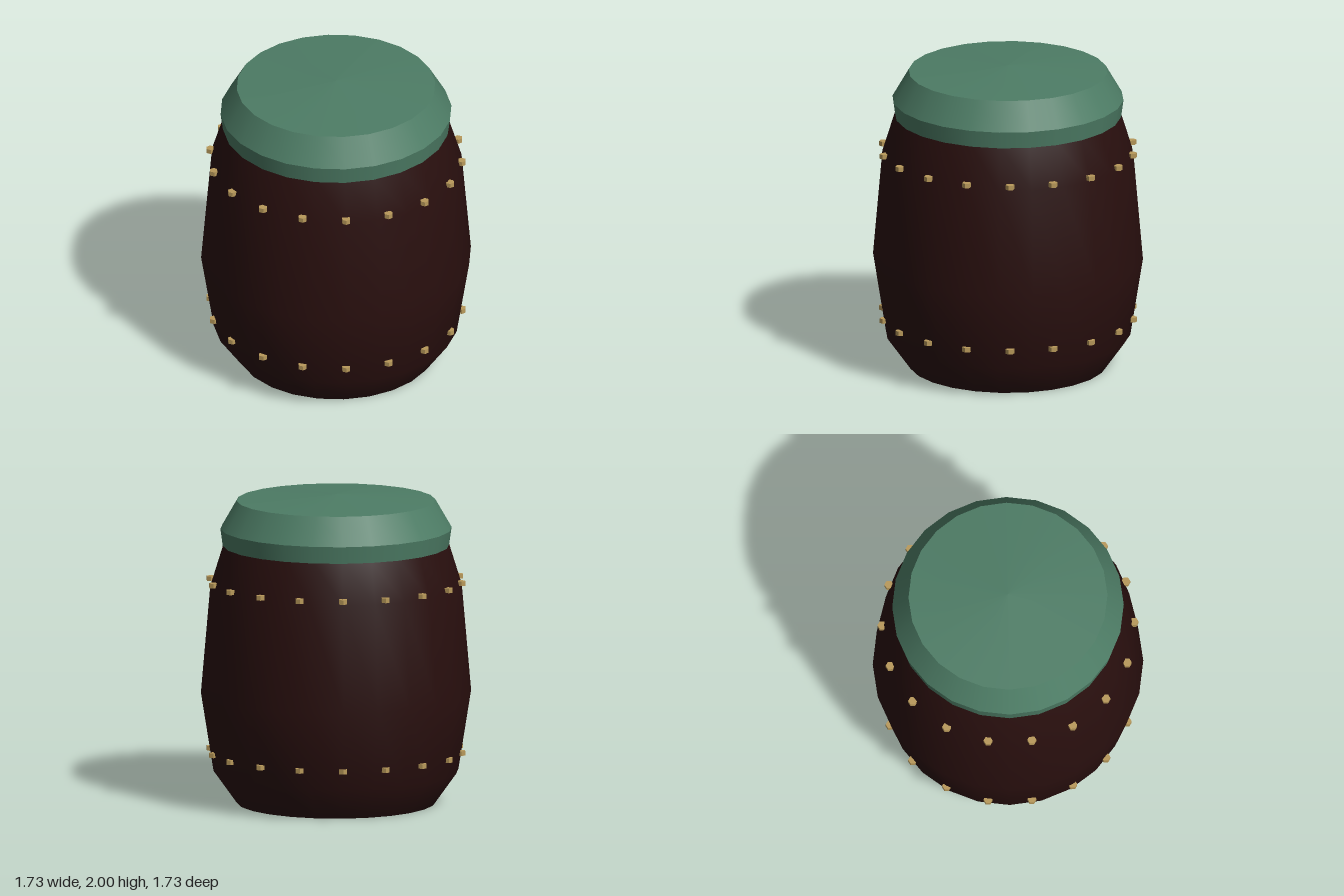
import * as THREE from 'three';

const SIDES = 24;
const RIVETS = 18;

export function createModel() {
  const group = new THREE.Group();
  group.name = 'barrel';

  const mat = (name, color) => {
    const m = new THREE.MeshStandardMaterial({ color });
    m.name = name;
    return m;
  };
  const darkWood = mat('darkWood', 0x290f0e);
  const greenLid = mat('greenLid', 0x4d7c65);
  const brass = mat('brass', 0xb8995a);

  const add = (name, geometry, material, parent = group) => {
    const mesh = new THREE.Mesh(geometry, material);
    mesh.name = name;
    parent.add(mesh);
    return mesh;
  };
  // Turned surface, profile given as [radius, height] from bottom to top
  const turned = (profile) =>
    new THREE.LatheGeometry(profile.map(([r, y]) => new THREE.Vector2(r, y)), SIDES);

  // Bulging body with a flat base
  add('body', turned([[0.635, 0], [0.785, 0.21], [0.866, 0.72], [0.806, 1.41], [0.722, 1.68]]), darkWood);
  add('base', turned([[0, 0], [0.635, 0]]), darkWood);

  // Lid: separate bands keep its ring edges sharp
  const lid = new THREE.Group();
  lid.name = 'lid';
  group.add(lid);
  const rings = [[0.71, 1.67], [0.726, 1.67], [0.741, 1.78], [0.637, 1.96], [0, 2]];
  ['lidUnderside', 'lidRim', 'lidBevel', 'lidTop'].forEach((name, i) =>
    add(name, turned([rings[i], rings[i + 1]]), greenLid, lid));

  // Two rows of small hexagonal rivets
  const rivetGeometry = new THREE.CylinderGeometry(0.029, 0.029, 0.03, 6).toNonIndexed();
  rivetGeometry.rotateY(Math.PI / 6);
  rivetGeometry.computeVertexNormals();
  for (const [name, y] of [['lowerRivets', 0.335], ['upperRivets', 1.437]]) {
    const row = new THREE.Group();
    row.name = name;
    group.add(row);
    for (let i = 0; i < RIVETS; i++) {
      const a = (i / RIVETS) * Math.PI * 2;
      add('rivet', rivetGeometry, brass, row).position.set(0.807 * Math.cos(a), y, 0.807 * Math.sin(a));
    }
  }
  return group;
}
